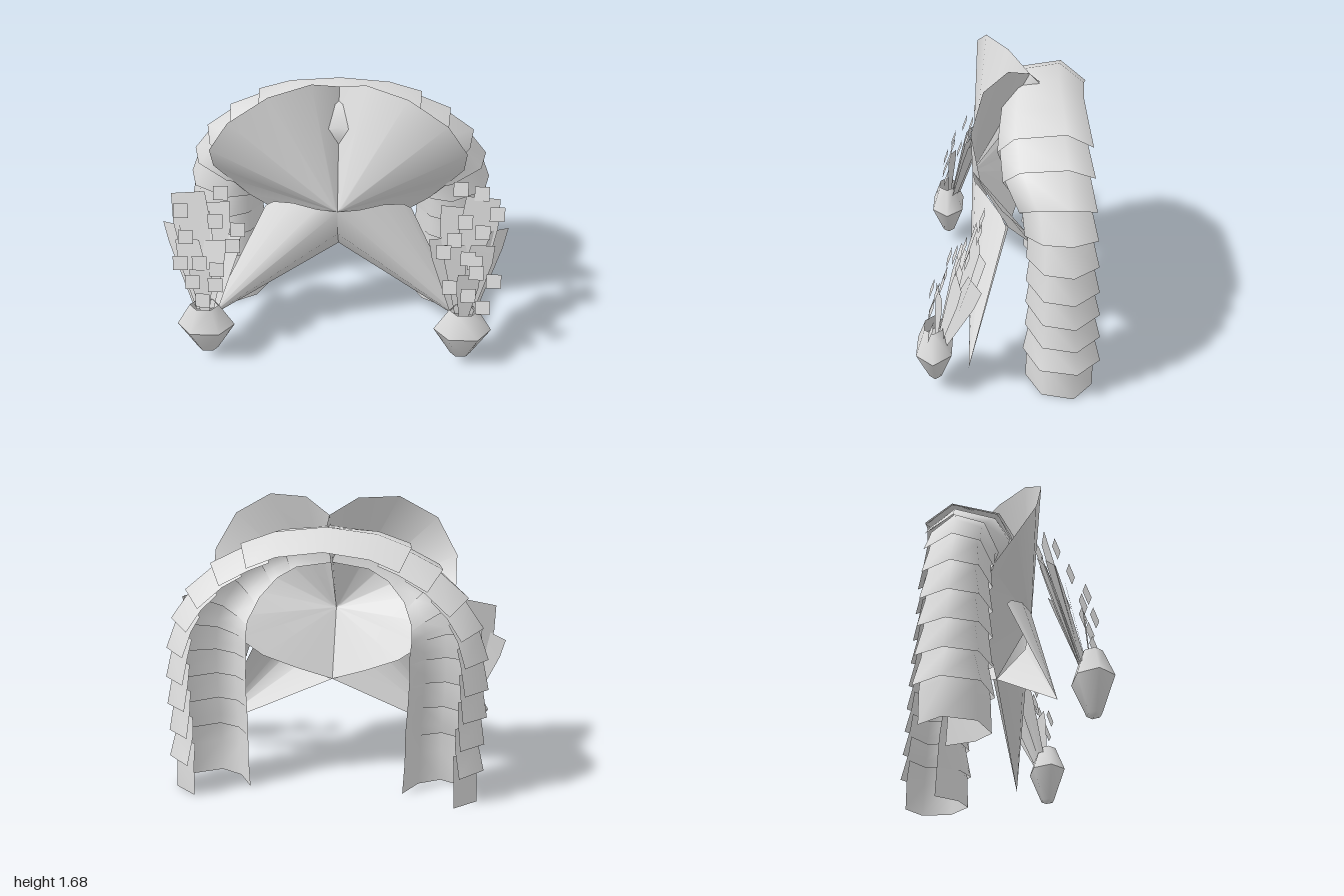
import * as THREE from 'three';

const paleGrey = new THREE.MeshStandardMaterial({ color: 0xdcdcdc, side: THREE.DoubleSide });
paleGrey.name = 'paleGrey';

const mix = (a, b, t) => a.map((v, i) => v + (b[i] - v) * t);

// Skin a surface over rows of points, smooth shaded
function skin(name, rows) {
  const n = rows[0].length, index = [];
  for (let r = 0; r < rows.length - 1; r++) {
    for (let i = 0; i < n - 1; i++) {
      const a = r * n + i, b = a + n;
      index.push(a, a + 1, b, a + 1, b + 1, b);
    }
  }
  const geo = new THREE.BufferGeometry();
  geo.setAttribute('position', new THREE.Float32BufferAttribute(rows.flat(2), 3));
  geo.setIndex(index);
  geo.computeVertexNormals();
  const mesh = new THREE.Mesh(geo, paleGrey);
  mesh.name = name;
  return mesh;
}

// Cone-like sheet from one apex to an open rim
const fan = (name, apex, rim) =>
  skin(name, [rim.map(() => apex), rim.map((p) => mix(apex, p, 0.04)), rim]);

// Outer line of one leg of the arch: x, y, front z, wall depth
const stations = [
  [0.88, 0, -0.08, 0.43], [0.87, 0.2, -0.09, 0.41], [0.87, 0.36, -0.1, 0.41],
  [0.88, 0.52, -0.1, 0.41], [0.885, 0.68, -0.1, 0.41], [0.88, 0.85, -0.1, 0.41],
  [0.85, 1.02, -0.09, 0.39], [0.77, 1.18, -0.06, 0.36], [0.63, 1.33, 0.03, 0.32],
  [0.46, 1.44, 0.06, 0.28], [0.28, 1.52, 0.06, 0.27], [0, 1.56, 0.05, 0.27],
];

function outward(i) {
  if (i === 0) return [1, 0];
  if (i === stations.length - 1) return [0, 1];
  const a = stations[i - 1], b = stations[i + 1];
  const dx = b[0] - a[0], dy = b[1] - a[1], l = Math.hypot(dx, dy);
  return [dy / l, -dx / l];
}

// Cross-section of the arch, open towards its inner back
function section(i, flare) {
  const [x, y, front, depth] = stations[i], [nx, ny] = outward(i), t = i / 11;
  const profile = [
    [-depth, front - 0.22 * (1 - t)],
    [-depth * 0.8, front - 0.07 * (1 - t) + flare * 0.4],
    [-depth * 0.5, front + flare * 0.6],
    [-0.04 + flare, front - 0.09 + flare * 0.5],
    [flare, -0.35 + 0.09 * t - flare * 0.5],
    [-0.13 + 0.02 * t + flare * 0.8, -0.46 + 0.06 * t - flare],
  ];
  return profile.map(([n, z]) => [x + nx * n, y + ny * n, z]);
}

// Overlapping scales, each flared at its lower rim and tucked under the next
function archLeg() {
  const leg = new THREE.Group();
  leg.name = 'archLeg';
  for (let i = 0; i < 9; i++) {
    const next = section(i + 1, 0.005), beyond = section(i + 2, -0.01);
    leg.add(skin('archScale', [
      section(i, i ? 0.045 - 0.002 * i : 0), next, next.map((p, k) => mix(p, beyond[k], 0.7)),
    ]));
  }
  return leg;
}

function archCrown() {
  const half = [section(9, 0.03), section(10, 0.015), section(11, 0.005)];
  const other = [half[1], half[0]].map((row) => row.map(([x, y, z]) => [-x, y, z]));
  return skin('archCrown', [...half, ...other]);
}

// Large upper wing, closing behind the sleeve, and the sleeve running to the hand
function wingAndSleeve() {
  const group = new THREE.Group();
  group.name = 'wingAndSleeve';
  group.add(fan('upperWing', [0, 0.97, 0.23], [
    [-0.012, 1.54, -0.16], [0, 1.6, -0.1], [0.15, 1.68, 0.02], [0.38, 1.67, 0.15],
    [0.6, 1.54, 0.21], [0.72, 1.33, 0.16], [0.72, 1.15, 0.05], [0.65, 0.97, -0.08],
    [0.54, 0.85, -0.09], [0.4, 0.75, -0.09], [0.2, 0.66, -0.04], [0, 0.58, 0.02],
  ]));
  group.add(fan('sleeve', [0.79, 0.15, 0.24], [
    [0, 0.58, 0.02], [0, 0.78, 0.19], [0, 0.97, 0.23], [0.12, 0.97, 0.21],
    [0.26, 0.96, 0.14], [0.38, 0.91, 0.06], [0.43, 0.86, 0.03],
  ]));
  return group;
}

// Six-sided cup with a sharp waist
function cup() {
  const group = new THREE.Group();
  group.name = 'cup';
  for (const profile of [[[0, 0.08], [0.06, 0.08], [0.17, 0.27]], [[0.17, 0.27], [0.085, 0.42]]]) {
    const points = profile.map(([r, y]) => new THREE.Vector2(r, y));
    const mesh = new THREE.Mesh(new THREE.LatheGeometry(points, 6, Math.PI / 2), paleGrey);
    mesh.name = 'cupHalf';
    group.add(mesh);
  }
  group.scale.z = 0.67;
  group.position.set(0.745, 0, 0.43);
  return group;
}

// Tapered blades rising from the cup: top centre and half width along x and z
const blades = [
  [0.83, 1.05, 0.17, 0.11, 0.01], [0.68, 0.99, 0.18, 0.1, 0.01], [0.94, 0.84, 0.19, 0.06, 0.04],
  [0.58, 0.81, 0.25, 0.06, 0.03], [0.76, 0.66, 0.39, 0.07, 0.02], [0.84, 0.79, 0.28, 0.08, 0.02],
  [0.78, 0.93, 0.17, 0.08, 0.04], [0.68, 0.79, 0.28, 0.07, 0.02],
];

function bladeFan() {
  const group = new THREE.Group();
  group.name = 'bladeFan';
  for (const [x, y, z, wx, wz] of blades) {
    const base = [0.74 + (x - 0.74) * 0.3, 0.36, 0.43 + (z - 0.43) * 0.25], top = [x, y, z];
    group.add(skin('blade', [[0, 0.4], [0.75, 1], [1, 0.9]].map(([t, w]) => {
      const [cx, cy, cz] = mix(base, top, t);
      return [[cx - wx * w, cy + 0.01, cz + wz * w], [cx + wx * w, cy - 0.02, cz - wz * w]];
    })));
  }
  return group;
}

// Small square tiles floating in front of the blades
const tilesLeft = [
  [0.7, 1.09], [0.82, 1.07], [0.91, 0.97], [0.73, 0.93], [0.83, 0.88], [0.67, 0.84], [0.61, 0.78],
  [0.75, 0.75], [0.79, 0.73], [0.8, 0.68], [0.9, 0.64], [0.65, 0.6], [0.76, 0.54], [0.85, 0.45],
];
const tilesRight = [
  [-0.67, 1.05], [-0.9, 0.96], [-0.7, 0.91], [-0.57, 0.87], [-0.87, 0.83], [-0.6, 0.79], [-0.9, 0.7],
  [-0.79, 0.7], [-0.69, 0.67], [-0.83, 0.6], [-0.7, 0.58], [-0.78, 0.46],
];

function tiles(list) {
  const group = new THREE.Group();
  const geo = new THREE.PlaneGeometry(0.085, 0.085);
  for (const [x, y] of list) {
    const tile = new THREE.Mesh(geo, paleGrey);
    tile.name = 'tile';
    tile.position.set(x, y, Math.min(0.44, 0.42 - (y - 0.65) * 0.6));
    tile.rotation.x = -0.35;
    group.add(tile);
  }
  return group;
}

export function createModel() {
  const model = new THREE.Group();
  model.name = 'model';
  for (const side of [1, -1]) {
    const half = new THREE.Group();
    half.name = side > 0 ? 'leftHalf' : 'rightHalf';
    const hand = new THREE.Group();
    hand.name = 'hand';
    hand.add(cup(), bladeFan());
    hand.position.x = side > 0 ? 0 : 0.03;
    half.add(archLeg(), wingAndSleeve(), hand);
    half.scale.x = side;
    model.add(half);
  }
  const left = tiles(tilesLeft), right = tiles(tilesRight);
  left.name = 'leftTiles';
  right.name = 'rightTiles';
  model.add(archCrown(), left, right);
  return model;
}
